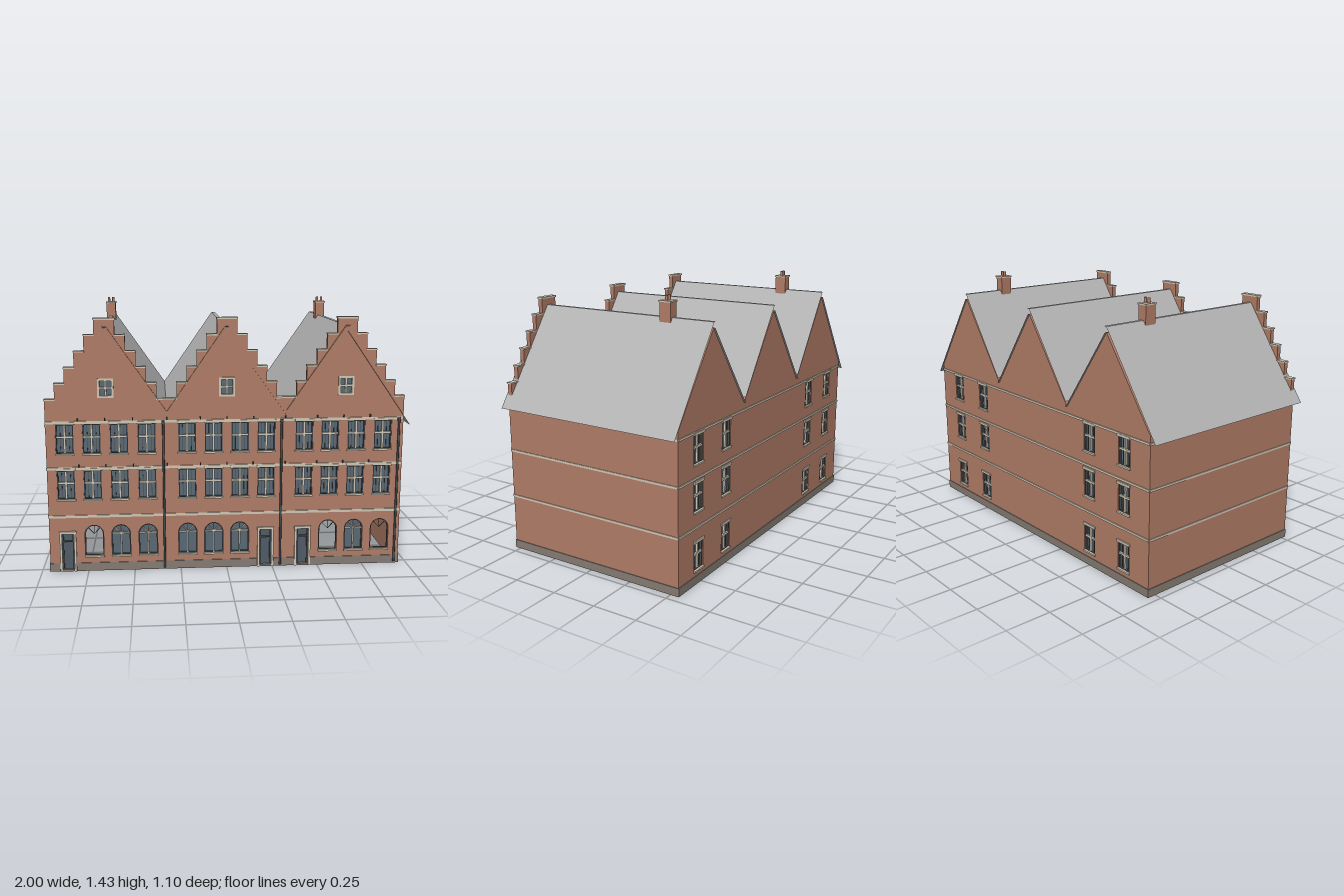
import * as THREE from 'three';

const mat = (name, color, side = THREE.FrontSide) =>
  Object.assign(new THREE.MeshStandardMaterial({ color, side }), { name });

export function createModel() {
  const brick = mat('brick', 0xb27d67, THREE.DoubleSide);
  const cream = mat('cream stone', 0xd0c7b5);
  const slate = mat('roof grey', 0xb4b4b4);
  const glass = mat('glass', 0x5a6874, THREE.DoubleSide);
  const plinthGrey = mat('plinth grey', 0x857c73);
  const dark = mat('dark metal', 0x474c50);
  const doorGrey = mat('door slate', 0x505c67, THREE.DoubleSide);

  const model = new THREE.Group();
  model.name = 'steppedGableHouses';
  const FRONT = 0.53, BACK = -0.545, SIDE = 0.955, WALL = 0.025;
  const centres = [-0.637, 0, 0.637];

  const add = (parent, name, geometry, material) => {
    const m = new THREE.Mesh(geometry, material);
    m.name = name;
    parent.add(m);
    return m;
  };
  const box = (parent, name, material, x, y, z, w, h, d) => {
    const m = add(parent, name, new THREE.BoxGeometry(w, h, d), material);
    m.position.set(x, y, z);
    return m;
  };
  const group = (name, x, y, z) => {
    const g = new THREE.Group();
    g.name = name;
    g.position.set(x, y, z);
    model.add(g);
    return g;
  };
  const rectPath = (C, x, y, w, h) => {
    const p = new C();
    p.moveTo(x - w / 2, y - h / 2);
    p.lineTo(x + w / 2, y - h / 2);
    p.lineTo(x + w / 2, y + h / 2);
    p.lineTo(x - w / 2, y + h / 2);
    p.closePath();
    return p;
  };
  // opening with a semicircular head; y is the sill height
  const archPath = (C, x, y, r, straight) => {
    const p = new C();
    p.moveTo(x - r, y);
    p.lineTo(x + r, y);
    p.lineTo(x + r, y + straight);
    p.absarc(x, y + straight, r, 0, Math.PI, false);
    p.closePath();
    return p;
  };
  const extrude = (shape, depth) =>
    new THREE.ExtrudeGeometry(shape, { depth, bevelEnabled: false, curveSegments: 16 });

  // bay positions along the front
  const bays = [-0.857, -0.716, -0.572, -0.426, -0.212, -0.071, 0.071, 0.212, 0.417, 0.557, 0.7, 0.845];
  const doorBays = [0, 7, 8], unglazed = [1, 9, 11];
  const frontRows = [0.48, 0.73];
  const backBays = [-0.77, -0.5, 0.5, 0.77], backRows = [0.15, 0.465, 0.715];
  const W = 0.094, H = 0.16, R = 0.05, SILL = 0.085, STRAIGHT = 0.12;

  // front wall with stepped gables
  const tread = 0.053, half = 0.3185, stepY = i => 0.94 + i * 0.084;
  const front = new THREE.Shape();
  front.moveTo(-SIDE, 0);
  front.lineTo(-SIDE, stepY(0));
  for (const c of centres) {
    for (let i = 1; i <= 5; i++) {
      front.lineTo(c - half + tread * i, stepY(i - 1));
      front.lineTo(c - half + tread * i, stepY(i));
    }
    for (let i = 5; i >= 1; i--) {
      front.lineTo(c + half - tread * i, stepY(i));
      front.lineTo(c + half - tread * i, stepY(i - 1));
    }
  }
  front.lineTo(SIDE, stepY(0));
  front.lineTo(SIDE, 0);
  front.closePath();
  bays.forEach((x, i) => {
    for (const y of frontRows) front.holes.push(rectPath(THREE.Path, x, y, W, H));
    front.holes.push(doorBays.includes(i) ? rectPath(THREE.Path, x, 0.107, 0.07, 0.206)
      : archPath(THREE.Path, x, SILL, R, STRAIGHT));
  });
  for (const c of centres) front.holes.push(rectPath(THREE.Path, c, 1.0, 0.066, 0.084));
  add(model, 'frontWall', extrude(front, WALL), brick).position.z = FRONT - WALL;

  // coping stones on every step
  for (const c of centres) {
    for (let i = 0; i < 5; i++) for (const s of [-1, 1])
      box(model, 'coping', cream, c + s * (half - tread * (i + 0.5)), stepY(i), FRONT - WALL / 2, tread + 0.004, 0.008, 0.035);
    box(model, 'topCoping', cream, c, stepY(5), FRONT - WALL / 2, 0.112, 0.01, 0.035);
    box(model, 'gableAnchor', dark, c, 1.315, FRONT + 0.002, 0.016, 0.006, 0.005);
  }

  // back wall with plain gables
  const back = new THREE.Shape();
  back.moveTo(-SIDE, 0);
  back.lineTo(-SIDE, 0.843);
  for (const c of centres) {
    back.lineTo(c, 1.288);
    back.lineTo(c + half, 0.843);
  }
  back.lineTo(SIDE, 0);
  back.closePath();
  for (const x of backBays) for (const y of backRows) back.holes.push(rectPath(THREE.Path, x, y, 0.085, 0.15));
  add(model, 'backWall', extrude(back, WALL), brick).position.z = BACK;

  // side walls
  for (const s of [-1, 1])
    box(model, 'sideWall', brick, s * (SIDE - WALL / 2), 0.42, (FRONT + BACK) / 2, WALL, 0.84, FRONT - BACK - 2 * WALL);

  // plinth, broken at the doors
  let start = -SIDE - 0.003;
  for (const x of [...doorBays.map(i => bays[i]), null]) {
    const end = x === null ? SIDE + 0.003 : x - 0.045;
    box(model, 'frontPlinth', plinthGrey, (start + end) / 2, 0.0225, FRONT, end - start, 0.045, 0.008);
    start = x + 0.045;
  }
  box(model, 'backPlinth', plinthGrey, 0, 0.0225, BACK, SIDE * 2 + 0.006, 0.045, 0.008);
  for (const s of [-1, 1])
    box(model, 'sidePlinth', plinthGrey, s * SIDE, 0.0225, (FRONT + BACK) / 2, 0.008, 0.045, FRONT - BACK);

  // string courses around the building
  for (const y of [0.307, 0.567, 0.815]) {
    box(model, 'frontBand', cream, 0, y + (y > 0.31 ? 0.005 : 0), FRONT, SIDE * 2, 0.014, 0.01);
    const yb = Math.min(y, 0.803);
    box(model, 'backBand', cream, 0, yb, BACK, SIDE * 2, 0.012, 0.01);
    for (const s of [-1, 1])
      box(model, 'sideBand', cream, s * SIDE, yb, (FRONT + BACK) / 2, 0.008, 0.012, FRONT - BACK);
  }

  // rectangular window: glass, dark casing, cream cross, sill and lintel
  const windowUnit = (name, x, y, z, w, h, turn) => {
    const g = group(name, x, y, z);
    if (turn) g.rotation.y = Math.PI;
    add(g, 'pane', new THREE.PlaneGeometry(w, h), glass).position.z = -0.017;
    for (const s of [-1, 1]) {
      box(g, 'casingSide', dark, s * (w / 2 - 0.003), 0, -0.01, 0.006, h, 0.012);
      box(g, 'casingRail', dark, 0, s * (h / 2 - 0.003), -0.01, w, 0.006, 0.012);
      box(g, 'glazingBar', dark, s * w / 4, 0, -0.014, 0.003, h, 0.004);
    }
    box(g, 'mullion', cream, 0, 0, -0.009, 0.011, h - 0.01, 0.01);
    box(g, 'transom', cream, 0, h * 0.06, -0.009, w - 0.01, 0.011, 0.01);
    box(g, 'sill', cream, 0, -h / 2 - 0.002, 0.001, w + 0.008, 0.009, 0.014);
    box(g, 'lintel', cream, 0, h / 2 + 0.006, 0.001, w + 0.01, 0.014, 0.013);
  };
  for (const x of bays) for (const y of frontRows) windowUnit('frontWindow', x, y, FRONT, W, H, false);
  for (const x of backBays) for (const y of backRows) windowUnit('backWindow', x, y, BACK, 0.085, 0.15, true);

  // small gable windows with a full stone surround
  for (const c of centres) {
    const g = group('gableWindow', c, 1.0, FRONT);
    const frame = rectPath(THREE.Shape, 0, 0, 0.084, 0.102);
    frame.holes.push(rectPath(THREE.Path, 0, 0, 0.06, 0.078));
    add(g, 'surround', extrude(frame, 0.016), cream).position.z = -0.01;
    add(g, 'pane', new THREE.PlaneGeometry(0.068, 0.086), glass).position.z = -0.011;
    box(g, 'mullion', cream, 0, 0, -0.004, 0.01, 0.08, 0.008);
    box(g, 'transom', cream, 0, 0, -0.004, 0.062, 0.01, 0.008);
  }

  // ground floor: doors and arched windows
  bays.forEach((x, i) => {
    if (doorBays.includes(i)) {
      const g = group('door', x, 0, FRONT);
      add(g, 'doorLeaf', new THREE.PlaneGeometry(0.07, 0.206), doorGrey).position.set(0, 0.107, -0.014);
      for (const s of [-1, 1]) {
        box(g, 'jamb', cream, s * 0.038, 0.11, 0, 0.012, 0.22, 0.016);
        box(g, 'leafStile', dark, s * 0.028, 0.105, -0.01, 0.008, 0.2, 0.008);
      }
      box(g, 'head', cream, 0, 0.218, 0.001, 0.092, 0.014, 0.018);
      box(g, 'fanlightRail', dark, 0, 0.165, -0.01, 0.056, 0.007, 0.008);
      box(g, 'doorstep', plinthGrey, 0, 0.005, -0.002, 0.065, 0.01, 0.016);
      return;
    }
    const open = unglazed.includes(i);
    const g = group('archedWindow', x, 0, FRONT);
    if (!open) add(g, 'pane', new THREE.ShapeGeometry(archPath(THREE.Shape, 0, SILL, R, STRAIGHT)), glass).position.z = -0.017;
    const ring = archPath(THREE.Shape, 0, SILL, R, STRAIGHT);
    ring.holes.push(archPath(THREE.Path, 0, SILL + 0.005, R - 0.005, STRAIGHT - 0.005));
    add(g, 'casing', extrude(ring, 0.008), dark).position.z = -0.016;
    const spring = SILL + STRAIGHT;
    for (const s of [-1, 0, 1]) {
      const bar = box(g, 'fanBar', open ? dark : cream, s * 0.016, spring + (s ? 0.017 : 0.022), -0.012,
        open ? 0.002 : 0.005, 0.044, 0.006);
      bar.rotation.z = -s * 0.75;
    }
    if (!open) {
      box(g, 'mullion', cream, 0, SILL + 0.06, -0.011, 0.008, STRAIGHT, 0.007);
      box(g, 'transom', cream, 0, spring, -0.011, 0.09, 0.008, 0.007);
    }
    box(g, 'sill', cream, 0, SILL - 0.004, 0.001, 0.105, 0.009, 0.014);
  });

  // iron wall anchors between the windows
  for (const y of [0.585, 0.835]) for (let i = 0; i < 11; i++)
    box(model, 'wallAnchor', dark, (bays[i] + bays[i + 1]) / 2, y, FRONT + 0.005, 0.006, 0.014, 0.01);

  // downpipes with hoppers
  for (const x of [-0.338, 0.293, 0.93]) {
    const pipe = add(model, 'downpipe', new THREE.CylinderGeometry(0.006, 0.006, 0.8, 10), dark);
    pipe.position.set(x, 0.41, FRONT + 0.008);
    box(model, 'hopper', dark, x, 0.815, FRONT + 0.008, 0.016, 0.018, 0.014);
  }

  // roof: an upper and a lower sheet swept along z
  const Z0 = -0.555, Z1 = 0.541;
  const sheet = (name, profile, up) => {
    const v = [];
    for (let i = 0; i < profile.length - 1; i++) {
      const [a, b] = up ? [profile[i], profile[i + 1]] : [profile[i + 1], profile[i]];
      v.push(...a, Z1, ...b, Z1, ...b, Z0, ...a, Z1, ...b, Z0, ...a, Z0);
    }
    const geo = new THREE.BufferGeometry();
    geo.setAttribute('position', new THREE.Float32BufferAttribute(v, 3));
    geo.computeVertexNormals();
    add(model, name, geo, slate);
  };
  const upper = [[-1, 0.81]], lower = [[-0.99, 0.782]];
  centres.forEach((c, i) => {
    upper.push([c - 0.01, 1.32], [c + 0.01, 1.32]);
    lower.push([c, 1.29]);
    if (i < 2) {
      upper.push([c + half, 0.873]);
      lower.push([c + half, 0.845]);
    }
  });
  upper.push([1, 0.81]);
  lower.push([0.99, 0.782]);
  sheet('roofCovering', upper, true);
  sheet('roofUnderside', lower, false);

  // chimneys on the outer ridges
  for (const x of [centres[0], centres[2]]) {
    const g = group('chimney', x, 0, -0.28);
    box(g, 'stack', brick, 0, 1.338, 0, 0.054, 0.124, 0.066);
    box(g, 'cap', cream, 0, 1.4, 0, 0.062, 0.008, 0.074);
    for (const s of [-1, 1])
      add(g, 'pot', new THREE.CylinderGeometry(0.007, 0.008, 0.028, 12), brick).position.set(s * 0.013, 1.417, 0);
  }
  return model;
}
